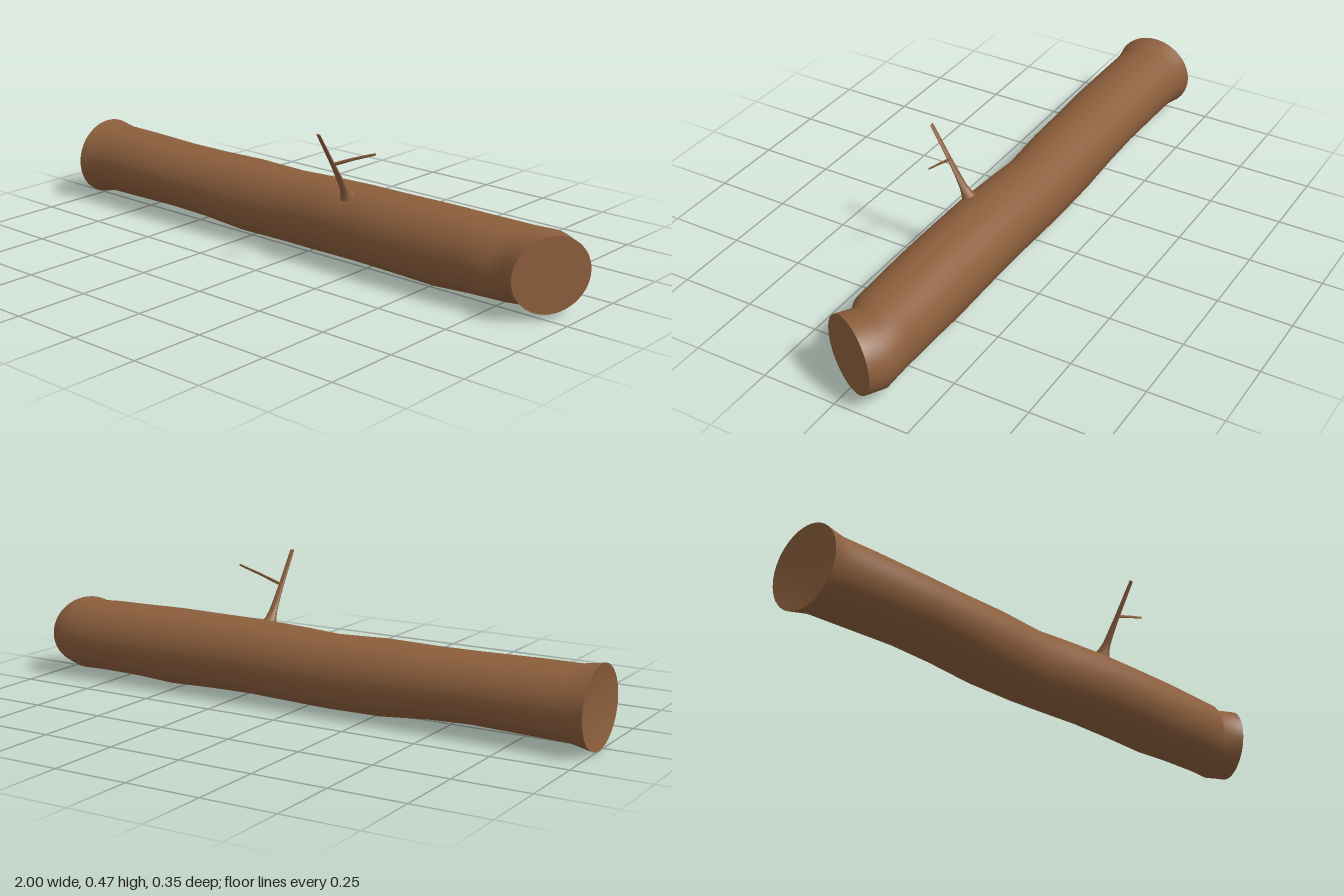
import * as THREE from 'three';

// Skin a row of rings; each ring has a centre c and two half-axes u, v (u x v points back along the row).
// startDish / endDish push the cap centres along x.
function loft(name, rings, sides, material, startDish = 0, endDish = 0) {
  const pos = [], index = [];
  const point = (r, j) => {
    const a = (j / sides) * Math.PI * 2;
    return r.c.clone().addScaledVector(r.u, Math.cos(a)).addScaledVector(r.v, Math.sin(a));
  };
  for (const r of rings) for (let j = 0; j < sides; j++) pos.push(...point(r, j).toArray());
  for (let i = 0; i < rings.length - 1; i++) {
    for (let j = 0; j < sides; j++) {
      const a = i * sides + j, b = i * sides + (j + 1) % sides;
      index.push(a, a + sides, b, b, a + sides, b + sides);
    }
  }
  // Caps get their own vertices so the rims stay sharp
  const cap = (r, dish, flip) => {
    const base = pos.length / 3;
    pos.push(r.c.x + dish, r.c.y, r.c.z);
    for (let j = 0; j < sides; j++) pos.push(...point(r, j).toArray());
    for (let j = 0; j < sides; j++) {
      const a = base + 1 + j, b = base + 1 + (j + 1) % sides;
      index.push(base, flip ? b : a, flip ? a : b);
    }
  };
  cap(rings[0], startDish, false);
  cap(rings[rings.length - 1], endDish, true);
  const g = new THREE.BufferGeometry();
  g.setAttribute('position', new THREE.Float32BufferAttribute(pos, 3));
  g.setIndex(index);
  g.computeVertexNormals();
  const mesh = new THREE.Mesh(g, material);
  mesh.name = name;
  return mesh;
}

// Trunk ring from its extents: x at front and back edge, bottom, top, back z, front z
function trunkRing([xf, xb, y0, y1, zb, zf]) {
  return {
    c: new THREE.Vector3((xf + xb) / 2, (y0 + y1) / 2, (zb + zf) / 2),
    u: new THREE.Vector3((xf - xb) / 2, 0, (zf - zb) / 2),
    v: new THREE.Vector3(0, (y1 - y0) / 2, 0),
  };
}

// Tapered twig: stations are [x, y, z, half-width, half-thickness]
function twig(name, stations, wide, material) {
  const p = stations.map(s => new THREE.Vector3(s[0], s[1], s[2]));
  const dir = p[p.length - 1].clone().sub(p[0]).normalize();
  const u = wide.clone().addScaledVector(dir, -wide.dot(dir)).normalize();
  const v = new THREE.Vector3().crossVectors(u, dir);
  const rings = stations.map((s, i) => ({
    c: p[i], u: u.clone().multiplyScalar(s[3]), v: v.clone().multiplyScalar(s[4]),
  }));
  return loft(name, rings, 10, material);
}

export function createModel() {
  const model = new THREE.Group();
  model.name = 'log';
  const bark = new THREE.MeshStandardMaterial({ color: 0x8b5e3c });
  bark.name = 'bark brown';

  // Trunk: flared left end, gently wavy body, slanted cut at the right end
  const body = [
    [-1, 0.003, 0.268, -0.172, 0.108],
    [-0.97, 0.01, 0.263, -0.166, 0.102],
    [-0.93, 0.019, 0.257, -0.16, 0.095],
    [-0.8, 0.022, 0.256, -0.158, 0.097],
    [-0.6, 0.027, 0.251, -0.156, 0.1],
    [-0.45, 0.022, 0.251, -0.157, 0.095],
    [-0.28, 0.008, 0.255, -0.159, 0.091],
    [-0.1, 0.008, 0.25, -0.16, 0.081],
    [0.02, 0.01, 0.256, -0.16, 0.088],
    [0.2, 0.015, 0.262, -0.16, 0.098],
    [0.36, 0.013, 0.263, -0.16, 0.1],
    [0.53, 0.008, 0.265, -0.16, 0.099],
    [0.66, 0.016, 0.263, -0.16, 0.095],
  ].map(([x, ...rest]) => [x, x, ...rest]);
  const cut = [
    [0.77, 0.84, 0.02, 0.262, -0.16, 0.09],
    [0.815, 0.935, 0.02, 0.262, -0.16, 0.066],
    [0.87, 0.995, 0.02, 0.261, -0.126, 0.104],
  ];
  model.add(loft('trunk', [...body, ...cut].map(trunkRing), 48, bark, 0.03, 0));

  // Branch with a flared foot
  model.add(twig('branch', [
    [0.197, 0.235, 0.032, 0.026, 0.03],
    [0.197, 0.254, 0.044, 0.019, 0.017],
    [0.197, 0.275, 0.056, 0.015, 0.01],
    [0.196, 0.31, 0.076, 0.013, 0.006],
    [0.195, 0.36, 0.106, 0.01, 0.0045],
    [0.193, 0.467, 0.171, 0.008, 0.0025],
  ], new THREE.Vector3(1, 0, 0), bark));

  // Side shoot
  model.add(twig('sideTwig', [
    [0.195, 0.358, 0.106, 0.006, 0.004],
    [0.27, 0.388, 0.094, 0.005, 0.003],
    [0.347, 0.415, 0.083, 0.004, 0.002],
  ], new THREE.Vector3(0, 1, -0.4), bark));

  return model;
}
